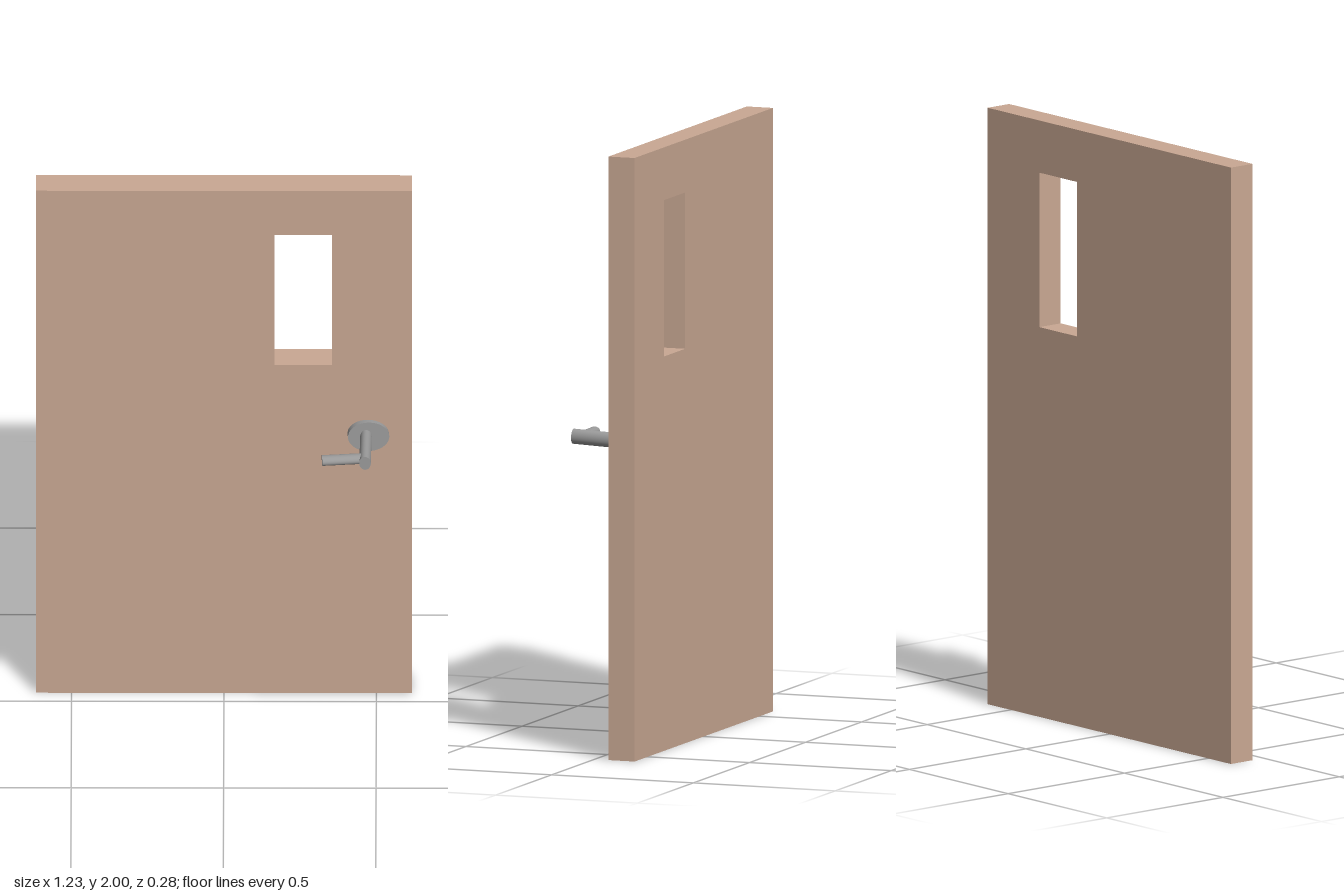
import * as THREE from 'three';

const wood = new THREE.MeshStandardMaterial({ color: 0xc9a893 });
const metal = new THREE.MeshStandardMaterial({ color: 0x999999 });

// Elliptical rod running from point a to point b; the radii lie across its axis
function rod(name, a, b, rx, rz, sides = 32) {
  const from = new THREE.Vector3(...a);
  const to = new THREE.Vector3(...b);
  const dir = to.clone().sub(from);
  const geometry = new THREE.CylinderGeometry(1, 1, dir.length(), sides);
  geometry.scale(rx, 1, rz);
  const mesh = new THREE.Mesh(geometry, metal);
  mesh.name = name;
  mesh.position.copy(from).add(to).multiplyScalar(0.5);
  mesh.quaternion.setFromUnitVectors(new THREE.Vector3(0, 1, 0), dir.normalize());
  return mesh;
}

function rectangle(path, x0, y0, x1, y1) {
  path.moveTo(x0, y0);
  path.lineTo(x1, y0);
  path.lineTo(x1, y1);
  path.lineTo(x0, y1);
  path.closePath();
  return path;
}

export function createModel() {
  const model = new THREE.Group();
  model.name = 'door';

  // Door slab with a tall open window
  const outline = rectangle(new THREE.Shape(), -0.617, 0, 0.617, 2);
  outline.holes.push(rectangle(new THREE.Path(), 0.165, 1.307, 0.355, 1.825));
  const slab = new THREE.Mesh(
    new THREE.ExtrudeGeometry(outline, { depth: 0.092, bevelEnabled: false }), wood);
  slab.name = 'doorPanel';
  slab.position.z = -0.141;
  model.add(slab);

  // Lever handle on the front: oval backplate, stem and grip
  const handle = new THREE.Group();
  handle.name = 'doorHandle';
  handle.add(
    rod('backplate', [0.473, 1.034, -0.053], [0.4745, 1.035, -0.029], 0.068, 0.055, 48),
    rod('handleStem', [0.466, 1.036, -0.045], [0.463, 1.043, 0.136], 0.019, 0.025),
    rod('handleGrip', [0.463, 1.043, 0.107], [0.322, 1.041, 0.117], 0.016, 0.02),
  );
  model.add(handle);

  return model;
}
